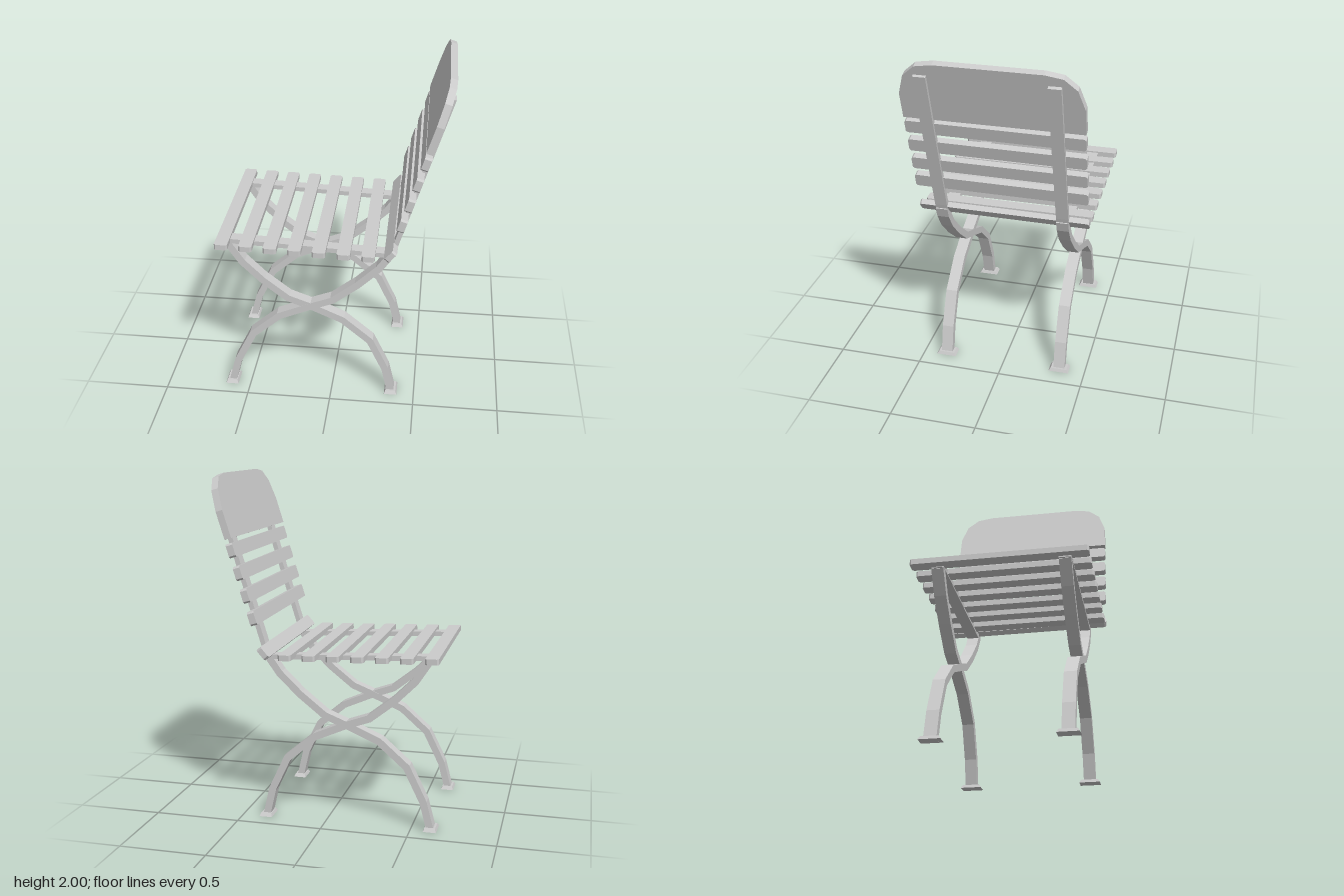
import * as THREE from 'three';

const material = new THREE.MeshStandardMaterial({ color: 0xcccccc, flatShading: true });
const SKEW_X = -0.01, SKEW_Y = 0.008; // timber sits very slightly askew on the frame
const SIDES = [['left', 0.36], ['right', -0.345]]; // z of the two iron frames
const BACK_TILT = 0.302;

function add(parent, name, geometry, x, y, z) {
  const mesh = new THREE.Mesh(geometry, material);
  mesh.name = name;
  mesh.position.set(x, y, z);
  parent.add(mesh);
  return mesh;
}

// Flat bar of constant thickness following a path in the x-y plane, centred on z
function barGeometry(points, thickness, width) {
  const path = points.map(([x, y]) => new THREE.Vector2(x, y));
  const normalOf = (a, b) => {
    const d = b.clone().sub(a).normalize();
    return new THREE.Vector2(-d.y, d.x);
  };
  const offset = path.map((p, i) => {
    const before = normalOf(path[Math.max(i - 1, 0)], path[Math.max(i, 1)]);
    const last = path.length - 1;
    const after = normalOf(path[Math.min(i, last - 1)], path[Math.min(i + 1, last)]);
    const mitre = before.clone().add(after).normalize();
    return mitre.multiplyScalar(thickness / 2 / mitre.dot(before));
  });
  const upper = path.map((p, i) => p.clone().add(offset[i]));
  const lower = path.map((p, i) => p.clone().sub(offset[i])).reverse();
  const shape = new THREE.Shape([...upper, ...lower]);
  return new THREE.ExtrudeGeometry(shape, { depth: width, bevelEnabled: false })
    .translate(0, 0, -width / 2);
}

// Board running along z, with its four corners clipped
function slatGeometry(width, thickness, length) {
  const w = width / 2, l = length / 2, c = 0.01;
  const shape = new THREE.Shape([
    [w, -l + c], [w, l - c], [w - c, l], [-w + c, l],
    [-w, l - c], [-w, -l + c], [-w + c, -l], [w - c, -l],
  ].map(([x, y]) => new THREE.Vector2(x, y)));
  return new THREE.ExtrudeGeometry(shape, { depth: thickness, bevelEnabled: false })
    .translate(0, 0, -thickness / 2)
    .rotateX(Math.PI / 2);
}

// Thin pad, narrower at the top
function footGeometry() {
  const geometry = new THREE.BoxGeometry(0.076, 0.018, 0.12);
  const p = geometry.attributes.position;
  for (let i = 0; i < p.count; i++) {
    if (p.getY(i) > 0) p.setXYZ(i, p.getX(i) * 0.8, p.getY(i), p.getZ(i) * 0.8);
  }
  return geometry.translate(0, 0.009, 0);
}

export function createModel() {
  const chair = new THREE.Group();
  chair.name = 'foldingSlatChair';

  // Iron frames: two crossing curved legs, seat rail, back upright and feet
  const rearLegPath = [
    [-0.612, 0.005], [-0.57, 0.165], [-0.472, 0.365], [-0.312, 0.505], [-0.122, 0.587],
    [0.005, 0.637], [0.15, 0.752], [0.272, 0.87], [0.335, 0.96], [0.358, 1.02],
  ];
  const frontLegPath = [
    [0.36, 0.005], [0.322, 0.17], [0.23, 0.365], [0.065, 0.505], [-0.122, 0.587],
    [-0.255, 0.635], [-0.4, 0.75], [-0.515, 0.865], [-0.597, 0.99],
  ];
  const rearLeg = barGeometry(rearLegPath, 0.042, 0.07);
  const frontLeg = barGeometry(frontLegPath, 0.042, 0.068);
  const upright = barGeometry([[0.352, 1.0], [0.368, 1.045], [0.639, 1.917]], 0.028, 0.07);
  const rail = barGeometry([[-0.61, 1.002], [0.335, 0.962]], 0.028, 0.07);
  const foot = footGeometry();
  for (const [side, z] of SIDES) {
    const frame = new THREE.Group();
    frame.name = side + 'Frame';
    frame.position.z = z;
    add(frame, 'backLegBar', rearLeg, 0, 0, 0);
    add(frame, 'frontLegBar', frontLeg, 0, 0, 0);
    add(frame, 'backUpright', upright, 0, 0, 0);
    add(frame, 'seatRail', rail, 0, 0, 0);
    add(frame, 'frontFoot', foot, -0.612, 0, 0);
    add(frame, 'backFoot', foot, 0.36, 0, 0);
    chair.add(frame);
  }

  // Seat slats, dropping slightly to the rear, and a tilted slat at the hinge
  const seatSlat = slatGeometry(0.075, 0.032, 0.985);
  for (let i = 0; i < 7; i++) {
    const slat = add(chair, 'seatSlat', seatSlat, -0.618 + i * 0.1385, 1.01 - i * 0.004, 0);
    slat.rotation.set(SKEW_X / 2, SKEW_Y, -0.03);
  }
  const hingeSlat = add(chair, 'hingeSlat', seatSlat, 0.337, 1.008, 0);
  hingeSlat.rotation.set(SKEW_X, SKEW_Y, 0.85);

  // Back slats
  const backSlat = slatGeometry(0.08, 0.04, 0.985);
  for (let i = 0; i < 4; i++) {
    const slat = add(chair, 'backSlat', backSlat, 0.396 + i * 0.0385, 1.204 + i * 0.1255, 0);
    slat.rotation.set(SKEW_X, SKEW_Y, Math.PI / 2 - BACK_TILT);
  }

  // Headboard with clipped round upper corners
  const half = [[0.493, 0], [0.493, 0.16], [0.457, 0.28], [0.387, 0.345], [0.29, 0.362]];
  const outline = [...half, ...half.map(([z, y]) => [-z, y]).reverse()]
    .map(([z, y]) => new THREE.Vector2(z, y));
  const boardGeometry = new THREE.ExtrudeGeometry(new THREE.Shape(outline), { depth: 0.04, bevelEnabled: false })
    .translate(0, 0, -0.02)
    .rotateY(-Math.PI / 2);
  const board = add(chair, 'headboard', boardGeometry, 0.526, 1.643, 0);
  board.rotation.set(SKEW_X / 2, SKEW_Y, -BACK_TILT);

  return chair;
}
